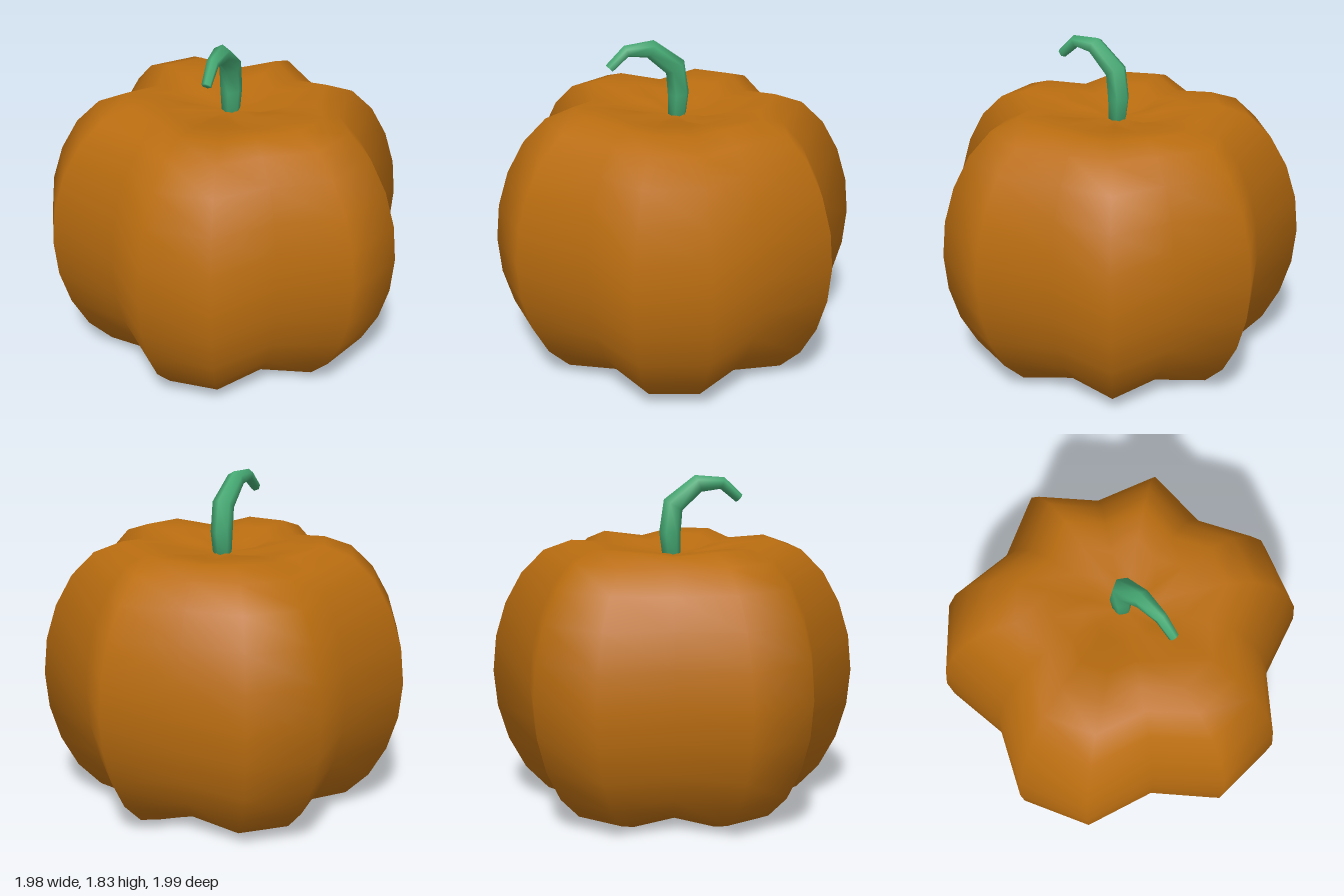
import * as THREE from 'three';

const skin = new THREE.MeshStandardMaterial({ color: 0xba6d10 });
skin.name = 'pumpkinOrange';
const green = new THREE.MeshStandardMaterial({ color: 0x46aa74 });
green.name = 'stemGreen';

// Closed smooth skin over rings of points, ending in a centre point at each end
function loft(rings, start, end) {
  const n = rings[0].length;
  const points = [...rings.flat(), start, end];
  const first = n * rings.length, last = first + 1, top = n * (rings.length - 1);
  const index = [];
  for (let j = 0; j < n; j++) {
    const k = (j + 1) % n;
    index.push(first, j, k, last, top + k, top + j);
    for (let i = 0; i < rings.length - 1; i++) {
      const a = i * n + j, b = i * n + k;
      index.push(a, a + n, b + n, a, b + n, b);
    }
  }
  const geometry = new THREE.BufferGeometry().setFromPoints(points);
  geometry.setIndex(index);
  geometry.computeVertexNormals();
  return geometry;
}

// Lobed body: one radius per rib or valley, one height per latitude
function makeBody() {
  const radii = [1.01, 0.84, 1, 0.83, 1, 1, 0.82, 1, 1, 0.82, 1.01, 1.02, 0.83, 1.02, 1.02, 0.84];
  const heights = [0, 0.2, 0.39, 0.56, 0.685, 0.74, 0.725, 0.69];
  const middle = 0.748, rings = [];
  for (let i = -7; i <= 7; i++) {
    const spread = Math.cos(i * Math.PI / 16);
    rings.push(radii.map((r, j) => {
      const a = (9 + 22.5 * j) * Math.PI / 180;
      const sink = r < 0.9 ? 0.96 : 1; // valleys dip a little
      const y = middle + Math.sign(i) * heights[Math.abs(i)] * sink;
      return new THREE.Vector3(Math.sin(a) * r * spread, y, -Math.cos(a) * r * spread);
    }));
  }
  return loft(rings, new THREE.Vector3(0, 0.09, 0), new THREE.Vector3(0, 1.41, 0));
}

// Six-sided tapering stem that curls forward: [y, z, radius]
function makeStem() {
  const path = [[1.4, -0.01, 0.05], [1.53, -0.018, 0.06], [1.68, 0, 0.06],
    [1.795, 0.14, 0.05], [1.795, 0.275, 0.034], [1.71, 0.37, 0.027]];
  const centres = path.map(([y, z]) => new THREE.Vector3(0, y, z));
  const rings = path.map(([, , r], i) => {
    const before = centres[Math.max(i - 1, 0)], after = centres[Math.min(i + 1, path.length - 1)];
    const t = after.clone().sub(before).normalize();
    return Array.from({ length: 6 }, (_, j) => {
      const a = j * Math.PI / 3;
      const x = Math.sin(a) * r, s = Math.cos(a) * r;
      return centres[i].clone().add(new THREE.Vector3(x, t.z * s, -t.y * s));
    });
  });
  return loft(rings, centres[0], centres[centres.length - 1]);
}

export function createModel() {
  const model = new THREE.Group();
  model.name = 'pumpkin';
  const body = new THREE.Mesh(makeBody(), skin);
  body.name = 'body';
  const stem = new THREE.Mesh(makeStem(), green);
  stem.name = 'stem';
  model.add(body, stem);
  return model;
}
